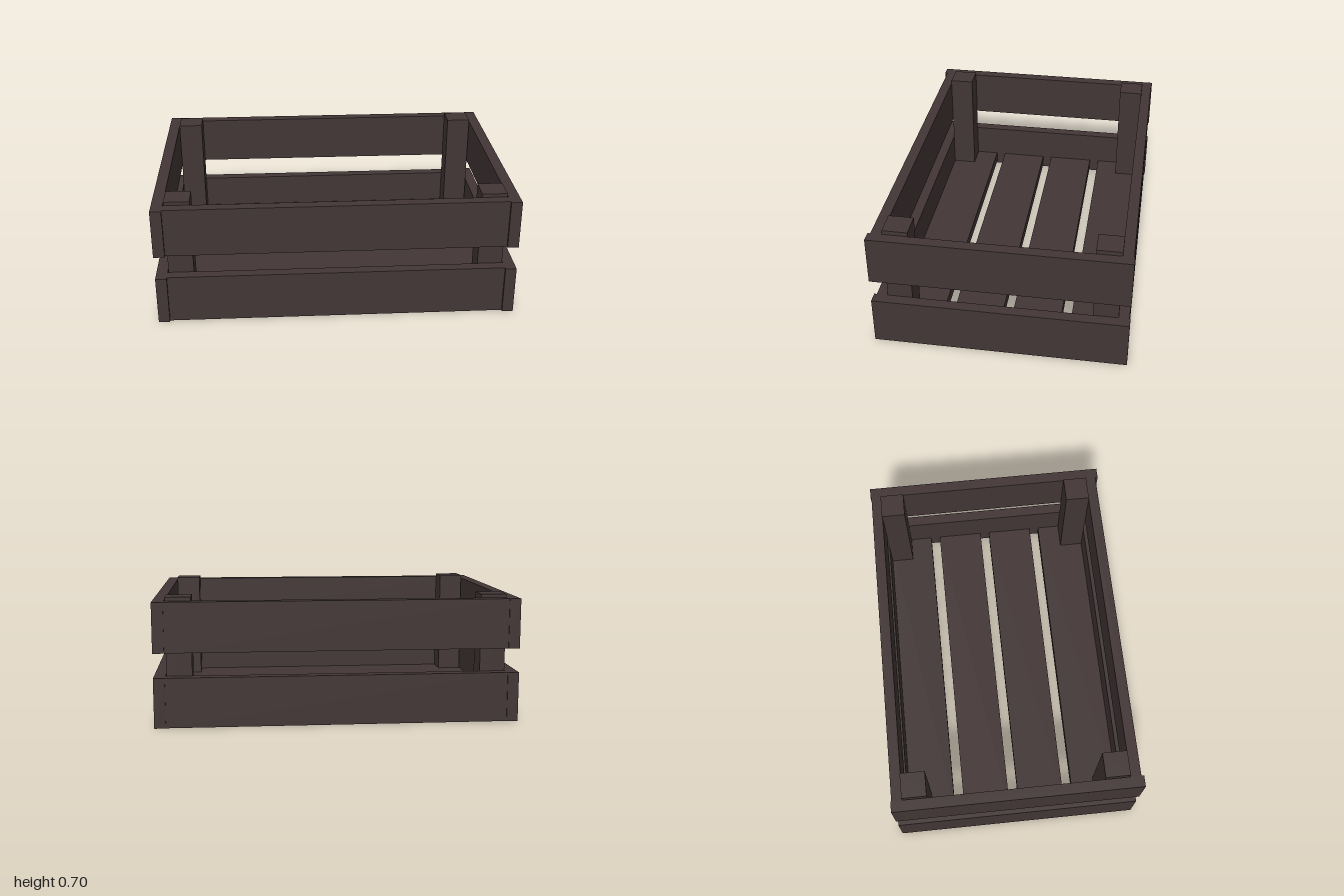
import * as THREE from 'three';

export function createModel() {
  const crate = new THREE.Group();
  crate.name = 'slattedCrate';
  const wood = new THREE.MeshStandardMaterial({ color: 0x433636 });
  wood.name = 'darkWood';

  // Adds a board spanning the given ranges on x, y and z
  const board = (name, [x0, x1], [y0, y1], [z0, z1]) => {
    const mesh = new THREE.Mesh(new THREE.BoxGeometry(x1 - x0, y1 - y0, z1 - z0), wood);
    mesh.position.set((x0 + x1) / 2, (y0 + y1) / 2, (z0 + z1) / 2);
    mesh.name = name;
    crate.add(mesh);
  };

  // Two tiers of wall boards: long ones between the end boards
  [['lower', 0, 0.275], ['upper', 0.41, 0.685]].forEach(([tier, y0, y1]) => {
    board(tier + 'FrontBoard', [-0.938, 0.938], [y0, y1], [0.625, 0.685]);
    board(tier + 'BackBoard', [-0.938, 0.938], [y0, y1], [-0.695, -0.635]);
    board(tier + 'LeftBoard', [0.938, 1], [y0, y1], [-0.7, 0.7]);
    board(tier + 'RightBoard', [-1, -0.938], [y0, y1], [-0.7, 0.7]);
  });

  // Floor slats, slightly recessed above the bottom rim
  for (let i = 0; i < 4; i++) {
    const z = -0.642 + i * 0.331;
    board('floorSlat' + (i + 1), [-0.937, 0.937], [0.015, 0.08], [z, z + 0.274]);
  }

  // Corner posts standing on the floor
  for (const [side, x] of [['Left', 0.793], ['Right', -0.933]]) {
    board('front' + side + 'Post', [x, x + 0.14], [0.08, 0.705], [0.486, 0.625]);
    board('back' + side + 'Post', [x, x + 0.14], [0.08, 0.705], [-0.638, -0.5]);
  }
  return crate;
}
